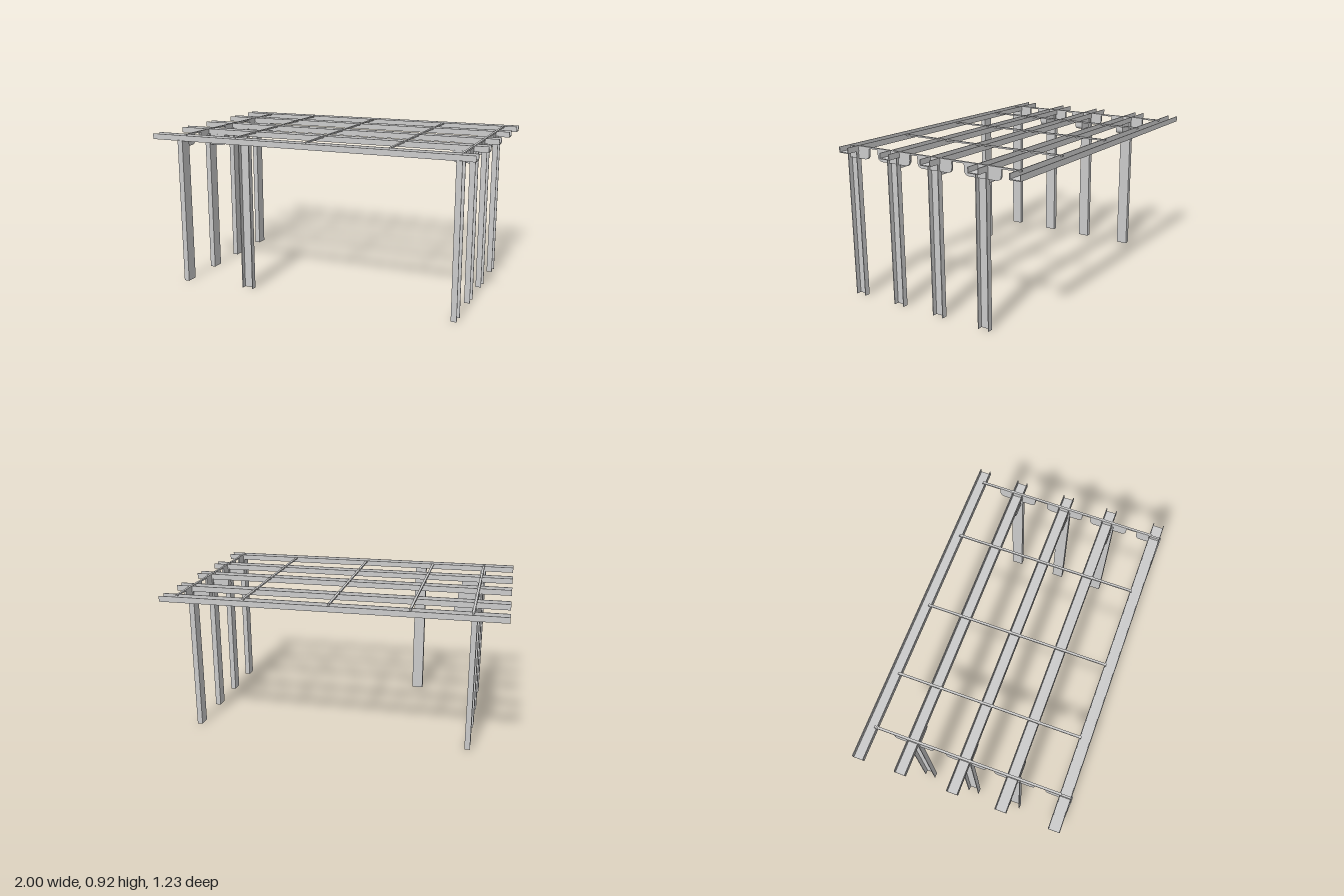
import * as THREE from 'three';

const mat = new THREE.MeshStandardMaterial({ color: 0xcccccc, flatShading: true, side: THREE.DoubleSide });

function mesh(geo, name) {
  const m = new THREE.Mesh(geo, mat);
  m.name = name;
  return m;
}

// U channel: web on y = 0, flanges rising to +y, running along +z from 0
function channel(width, depth, length, wall = 0.005) {
  const w = width / 2, i = w - wall;
  const pts = [[-w, 0], [w, 0], [w, depth], [i, depth], [i, wall], [-i, wall], [-i, depth], [-w, depth]];
  const shape = new THREE.Shape(pts.map(([x, y]) => new THREE.Vector2(x, y)));
  return new THREE.ExtrudeGeometry(shape, { depth: length, bevelEnabled: false });
}

// Plate from a to b with rounded lower corners, centred on its thickness
function gusset(a, b, bottom, top, thickness, rA, rB) {
  const s = new THREE.Shape();
  s.moveTo(a, top);
  s.lineTo(a, bottom + rA);
  s.quadraticCurveTo(a, bottom, a + rA, bottom);
  s.lineTo(b - rB, bottom);
  s.quadraticCurveTo(b, bottom, b, bottom + rB);
  s.lineTo(b, top);
  const g = new THREE.ExtrudeGeometry(s, { depth: thickness, bevelEnabled: false, curveSegments: 6 });
  return g.translate(0, 0, -thickness / 2);
}

export function createModel() {
  const model = new THREE.Group();
  model.name = 'pergolaFrame';

  // Upward-opening beams along x
  for (const z of [-0.58, -0.327, -0.015, 0.27, 0.578]) {
    const g = channel(0.068, 0.034, 2).rotateY(Math.PI / 2).translate(-1, 0.886, z);
    model.add(mesh(g, 'beam'));
  }

  // Thin cross rods along z
  for (const x of [-0.803, -0.462, 0, 0.505, 0.911]) {
    const g = new THREE.BoxGeometry(0.014, 0.009, 1.12).translate(x, 0.915, -0.005);
    model.add(mesh(g, 'crossRod'));
  }

  // Post with its opening facing +z before turning
  function post(x, z, turn, height = 0.89) {
    const m = mesh(channel(0.072, 0.033, height).rotateX(-Math.PI / 2)
      .rotateY(Math.PI).rotateY(turn), 'post');
    m.position.set(x, 0, z);
    model.add(m);
  }

  // Two rows of posts opening outward, with brackets at the top
  for (const side of [-1, 1]) {
    const webX = side < 0 ? -0.786 : 0.898;
    const plateX = side < 0 ? -0.803 : 0.91;
    for (const z of [0.582, 0.28, -0.01, -0.325]) {
      const front = z > 0.5;
      // channel depth points to -z after the rotations above, so turn it to the outside
      post(webX, z, side > 0 ? Math.PI / 2 : -Math.PI / 2);

      // Rounded plate along z
      const plate = gusset(z - 0.118, front ? 0.612 : z + 0.118, 0.845, 0.912, 0.012, 0.035, front ? 0.002 : 0.035);
      model.add(mesh(plate.rotateY(-Math.PI / 2).translate(plateX, 0, 0), 'crossBracket'));

      // Block bracket under the beam, pointing inward
      if (!front) {
        const block = side < 0
          ? gusset(-0.79, -0.682, 0.82, 0.888, 0.05, 0.002, 0.03)
          : gusset(0.797, 0.903, 0.82, 0.888, 0.05, 0.03, 0.002);
        model.add(mesh(block.translate(0, 0, z), 'beamBracket'));
      }
    }
  }

  // Extra post under the front beam, opening to the front
  post(-0.38, 0.56, 0);

  return model;
}
